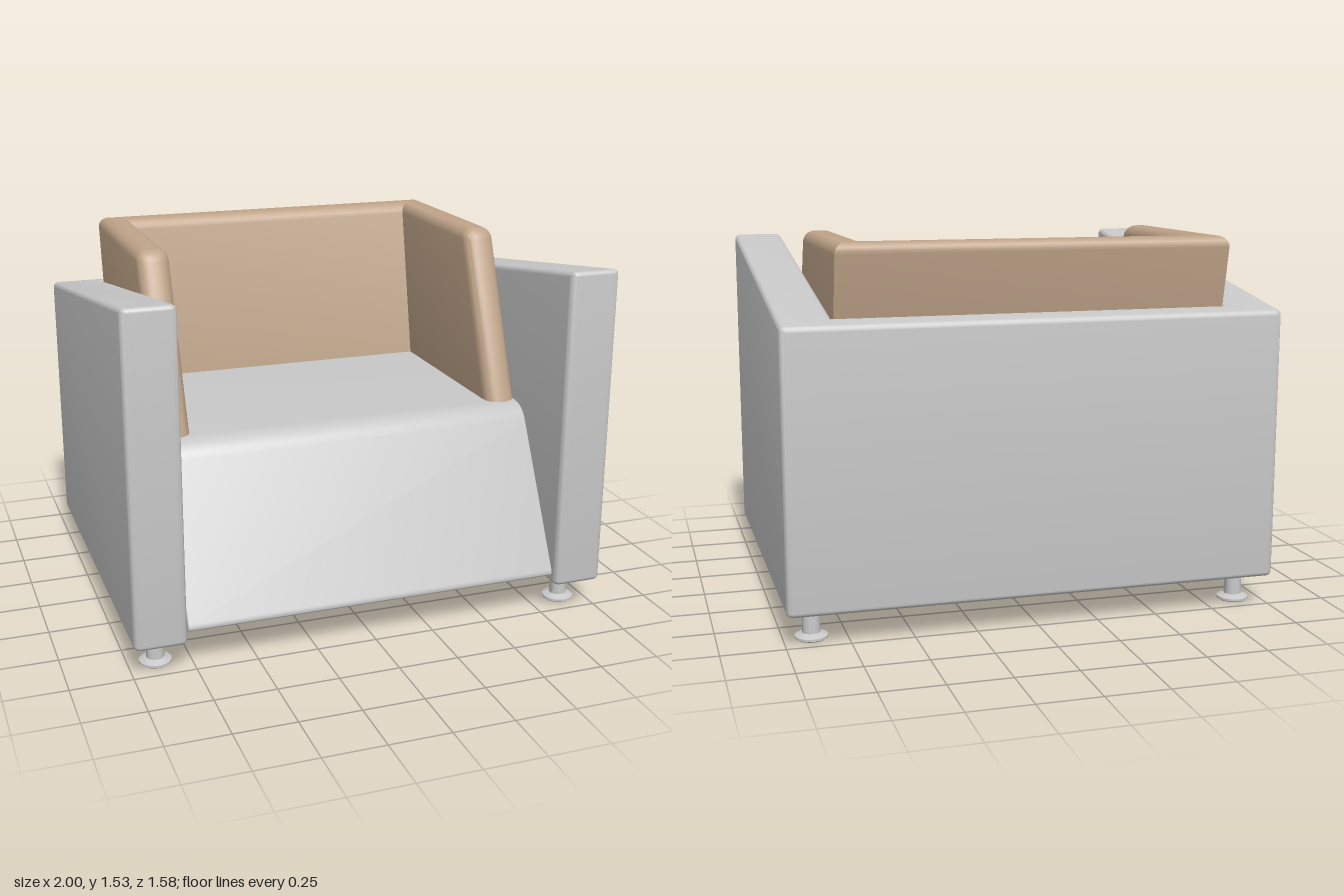
import * as THREE from 'three';
import { toCreasedNormals } from 'three/addons/utils/BufferGeometryUtils.js';

const shellGrey = new THREE.MeshStandardMaterial({ color: 0xc8c8c8 });
shellGrey.name = 'shell grey';
const cushionTan = new THREE.MeshStandardMaterial({ color: 0xbea388 });
cushionTan.name = 'cushion tan';

// Closed outline from [x, y, cornerRadius] points
function roundedShape(points) {
  const shape = new THREE.Shape();
  points.forEach(([x, y, r = 0], i) => {
    const p = new THREE.Vector2(x, y);
    const toward = (j) => {
      const q = points[(j + points.length) % points.length];
      return new THREE.Vector2(q[0], q[1]).sub(p).setLength(r).add(p);
    };
    const a = r ? toward(i - 1) : p;
    if (i === 0) shape.moveTo(a.x, a.y);
    else shape.lineTo(a.x, a.y);
    if (r) {
      const b = toward(i + 1);
      shape.quadraticCurveTo(x, y, b.x, b.y);
    }
  });
  return shape;
}

// Extrusion whose bevel stays inside the outline and the given length
function extrude(shape, length, bevel) {
  return new THREE.ExtrudeGeometry(shape, {
    depth: length - 2 * bevel,
    bevelThickness: bevel,
    bevelSize: bevel,
    bevelOffset: -bevel,
    bevelSegments: 5,
    curveSegments: 8,
  }).translate(0, 0, bevel);
}

// U-shaped wall, open to the front, standing from y = bottom to y = top
function uWall({ outer, inner, back, innerBack, front, backRadius, endRadius, bottom, top, bevel }) {
  const shape = roundedShape([
    [-outer, -back, backRadius], [-outer, -front, endRadius],
    [-inner, -front, endRadius], [-inner, -innerBack],
    [inner, -innerBack], [inner, -front, endRadius],
    [outer, -front, endRadius], [outer, -back, backRadius],
  ]);
  return extrude(shape, top - bottom, bevel).rotateX(-Math.PI / 2).translate(0, bottom, 0);
}

// Move every vertex by a rule
function reshape(geometry, rule) {
  const pos = geometry.attributes.position;
  const v = new THREE.Vector3();
  for (let i = 0; i < pos.count; i++) {
    rule(v.fromBufferAttribute(pos, i));
    pos.setXYZ(i, v.x, v.y, v.z);
  }
  return geometry;
}

function part(name, geometry, material) {
  const mesh = new THREE.Mesh(toCreasedNormals(geometry, 0.6), material);
  mesh.name = name;
  return mesh;
}

export function createModel() {
  const group = new THREE.Group();
  group.name = 'armchair';

  // Arms and back in one shell, its top falling toward the back
  const shell = uWall({
    outer: 1, inner: 0.79, back: -0.79, innerBack: -0.68, front: 0.79,
    backRadius: 0.03, endRadius: 0.03, bottom: 0.13, top: 1.352, bevel: 0.02,
  });
  reshape(shell, (v) => { if (v.y > 0.6) v.y += 0.155 * v.z; });
  group.add(part('armAndBackShell', shell, shellGrey));

  // Seat block with a sloping front
  const seatProfile = roundedShape([
    [-0.69, 0.17], [0.78, 0.17, 0.035], [0.435, 0.83, 0.075], [-0.69, 0.83],
  ]);
  const seat = extrude(seatProfile, 1.57, 0.008).rotateY(-Math.PI / 2).translate(0.785, 0, 0);
  group.add(part('seat', seat, shellGrey));

  // Wraparound cushion: back reclines, front ends slope more steeply
  const cushion = uWall({
    outer: 0.785, inner: 0.652, back: -0.6, innerBack: -0.48, front: 0.38,
    backRadius: 0, endRadius: 0.066, bottom: 0.7, top: 1.527, bevel: 0.045,
  });
  reshape(cushion, (v) => {
    const t = THREE.MathUtils.clamp((v.z + 0.48) / 0.86, 0, 1);
    v.z -= (v.y - 0.83) * THREE.MathUtils.lerp(0.205, 0.41, t);
  });
  group.add(part('wraparoundCushion', cushion, cushionTan));

  // Four feet: flared disc with a hollow underside on a short stem
  const footProfile = [
    [0, 0.008], [0.045, 0.008], [0.045, 0], [0.058, 0], [0.065, 0.005],
    [0.065, 0.014], [0.036, 0.026], [0.034, 0.14],
  ].map(([x, y]) => new THREE.Vector2(x, y));
  for (const x of [-0.89, 0.89]) {
    for (const z of [-0.645, 0.635]) {
      const foot = part('foot', new THREE.LatheGeometry(footProfile, 24), shellGrey);
      foot.position.set(x, 0, z);
      group.add(foot);
    }
  }
  return group;
}
